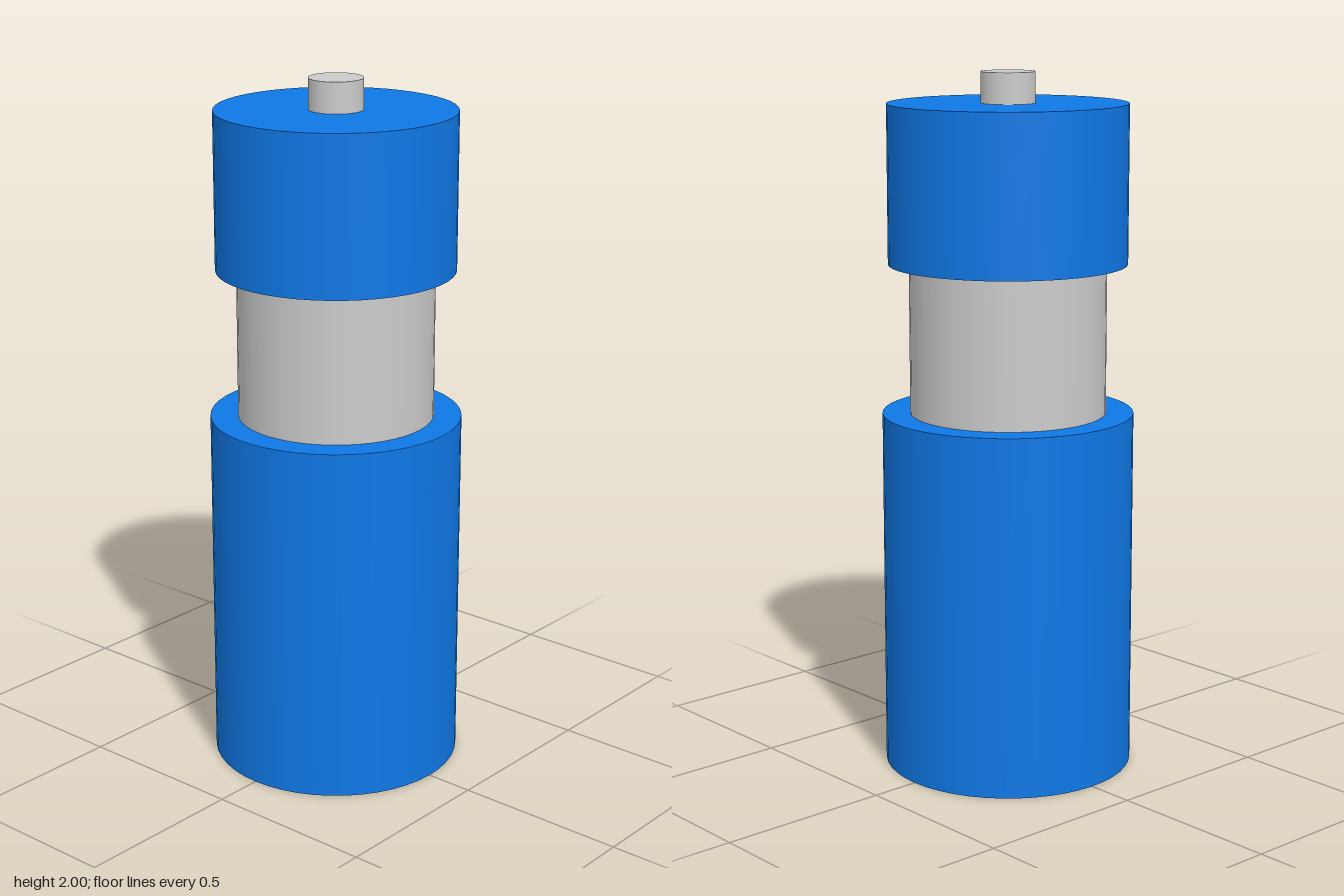
import * as THREE from 'three';

const blue = new THREE.MeshStandardMaterial({ color: 0x0f78e6 });
const grey = new THREE.MeshStandardMaterial({ color: 0xcccccc });

// Upright cylinder between two heights
function drum(name, radius, bottom, top, material) {
  const geometry = new THREE.CylinderGeometry(radius, radius, top - bottom, 48);
  const mesh = new THREE.Mesh(geometry, material);
  mesh.name = name;
  mesh.position.y = (bottom + top) / 2;
  return mesh;
}

export function createModel() {
  const model = new THREE.Group();
  model.name = 'stackedCylinder';
  model.add(
    drum('body', 0.359, 0, 1.036, blue),
    drum('neck', 0.28, 1.036, 1.463, grey),
    drum('cap', 0.339, 1.463, 1.913, blue),
    drum('topPin', 0.077, 1.913, 2, grey),
  );
  return model;
}
